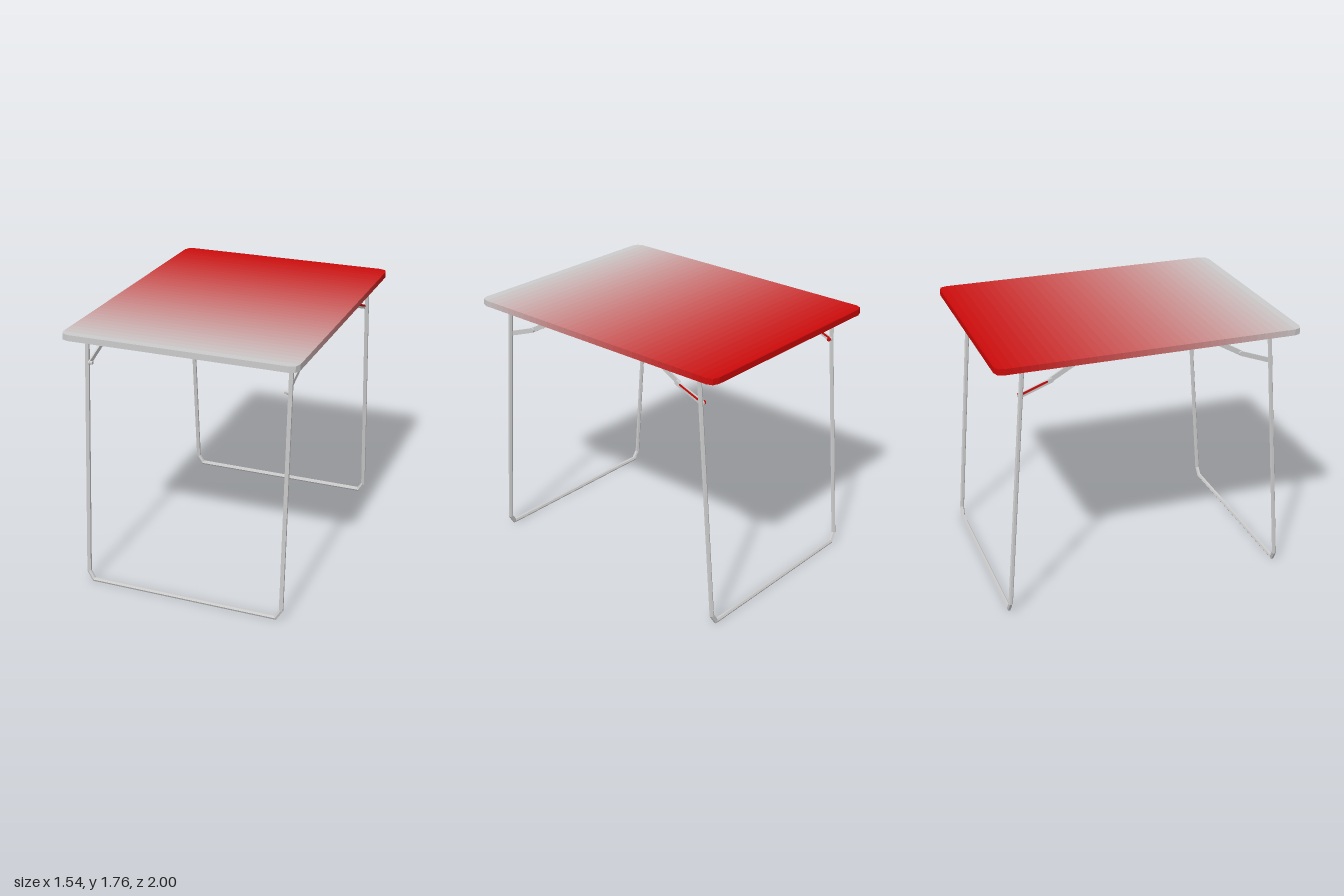
import * as THREE from 'three';

const grey = new THREE.MeshStandardMaterial({ color: 0xcccccc, flatShading: true });
const red = new THREE.MeshStandardMaterial({ color: 0xcc0a0a, flatShading: true });

function meshFrom(positions, material, name) {
  const geo = new THREE.BufferGeometry();
  geo.setAttribute('position', new THREE.Float32BufferAttribute(positions, 3));
  geo.computeVertexNormals();
  const mesh = new THREE.Mesh(geo, material);
  mesh.name = name;
  return mesh;
}

// Joins two loops of points with a band of quads
function bandBetween(a, b, out) {
  for (let k = 0; k < a.length; k++) {
    const n = (k + 1) % a.length;
    for (const p of [a[k], a[n], b[n], a[k], b[n], b[k]]) out.push(...p);
  }
}

// Table top: cross-sections along z with clipped corners, fading from red to grey
function createTop() {
  const top = new THREE.Group();
  top.name = 'tableTop';
  const yTop = 1.76, yBottom = 1.72;
  const zs = [-1, -0.985, -0.945];
  const bands = 36;
  for (let i = 1; i < bands; i++) zs.push(-0.945 + (1.89 * i) / bands);
  zs.push(0.945, 0.985, 1);
  const halfWidth = (z) => {
    const e = Math.abs(z);
    if (e > 0.99) return 0.715;
    return e > 0.95 ? 0.755 : 0.77;
  };
  const ring = (z) => {
    const w = halfWidth(z);
    return [[w, yTop, z], [-w, yTop, z], [-w, yBottom, z], [w, yBottom, z]];
  };
  for (let i = 0; i < zs.length - 1; i++) {
    const a = ring(zs[i]), b = ring(zs[i + 1]), out = [];
    bandBetween(a, b, out);
    if (i === 0) for (const k of [0, 2, 1, 0, 3, 2]) out.push(...a[k]);
    if (i === zs.length - 2) for (const k of [0, 1, 2, 0, 2, 3]) out.push(...b[k]);
    const t = ((zs[i] + zs[i + 1]) / 2 + 1) / 2;
    const fade = 0.03 + 0.77 * t;
    const material = new THREE.MeshStandardMaterial({ flatShading: true });
    material.color.setRGB(0.8, fade, fade, THREE.SRGBColorSpace);
    top.add(meshFrom(out, material, 'topBand'));
  }
  return top;
}

// U-shaped leg frame: six-sided tube with mitred corners, drawn flat then tilted
function createLegFrame(sz) {
  const half = [[0.675, 1.71], [0.679, 0.058], [0.643, 0]];
  const path = [...half, ...half.map(([x, y]) => [-x, y]).reverse()]
    .map(([x, y]) => new THREE.Vector2(x, y));
  const r = 0.015;
  const rings = path.map((p, i) => {
    const dirIn = p.clone().sub(path[Math.max(i - 1, 0)]).normalize();
    const dirOut = path[Math.min(i + 1, path.length - 1)].clone().sub(p).normalize();
    const t = dirIn.clone().add(dirOut).normalize();
    const along = i === 0 ? dirOut : dirIn;
    const miter = 1 / t.dot(along);
    return Array.from({ length: 6 }, (_, k) => {
      const a = (k * Math.PI) / 3;
      const s = Math.sin(a) * r * miter;
      return [p.x + t.y * s, p.y - t.x * s, Math.cos(a) * r];
    });
  });
  const out = [];
  for (let i = 0; i < rings.length - 1; i++) bandBetween(rings[i], rings[i + 1], out);
  const leg = meshFrom(out, grey, sz > 0 ? 'frontLegFrame' : 'backLegFrame');
  leg.position.set(0, 0.0135, 0.95 * sz);
  leg.rotation.x = -sz * Math.atan2(0.135, 1.7);
  return leg;
}

// Flat plate lying in the zy plane, centred on x
function plate(shape, x, thickness, material, name) {
  const geo = new THREE.ExtrudeGeometry(shape, { depth: thickness, bevelEnabled: false, curveSegments: 5 });
  geo.translate(0, 0, -thickness / 2);
  geo.rotateY(-Math.PI / 2);
  geo.translate(x, 0, 0);
  const mesh = new THREE.Mesh(geo, material);
  mesh.name = name;
  return mesh;
}

// Round-ended bar outline between two points
function barShape([z0, y0], [z1, y1], r) {
  const a = Math.atan2(y1 - y0, z1 - z0);
  const s = new THREE.Shape();
  s.absarc(z0, y0, r, a + Math.PI / 2, a + Math.PI * 1.5, false);
  s.absarc(z1, y1, r, a - Math.PI / 2, a + Math.PI / 2, false);
  s.closePath();
  return s;
}

// Folding brace: two links, three pins and a bracket under the top
function createBrace(sx, sz) {
  const brace = new THREE.Group();
  brace.name = (sz > 0 ? 'front' : 'back') + (sx > 0 ? 'Left' : 'Right') + 'Brace';
  const legPin = [0.83 * sz, 1.525], elbow = [0.63 * sz, 1.598], topPin = [0.455 * sz, 1.697];

  brace.add(plate(barShape(legPin, elbow, 0.015), 0.66 * sx, 0.012, grey, 'lowerLink'));
  brace.add(plate(barShape(elbow, topPin, 0.016), 0.649 * sx, 0.01, grey, 'upperLink'));

  const corners = [[0.53, 1.721], [0.53, 1.703], [0.478, 1.677], [0.4, 1.677], [0.4, 1.721]];
  const bracket = new THREE.Shape(corners.map(([z, y]) => new THREE.Vector2(z * sz, y)));
  brace.add(plate(bracket, 0.658 * sx, 0.009, grey, 'bracket'));

  for (const [z, y] of [legPin, elbow, topPin]) {
    const pin = new THREE.Mesh(new THREE.CylinderGeometry(0.012, 0.012, 0.028, 8), sz < 0 && y < 1.55 ? red : grey);
    pin.name = 'pin';
    pin.rotation.z = Math.PI / 2;
    pin.position.set(0.652 * sx, y, z);
    brace.add(pin);
  }
  // Red strip along the upper half of the back links
  if (sz < 0) {
    const strip = barShape([-0.825, 1.534], [-0.66, 1.594], 0.007);
    brace.add(plate(strip, 0.66 * sx, 0.015, red, 'redStrip'));
  }
  return brace;
}

export function createModel() {
  const table = new THREE.Group();
  table.name = 'foldingTable';
  table.add(createTop());
  for (const sz of [1, -1]) {
    table.add(createLegFrame(sz));
    for (const sx of [1, -1]) table.add(createBrace(sx, sz));
  }
  return table;
}
